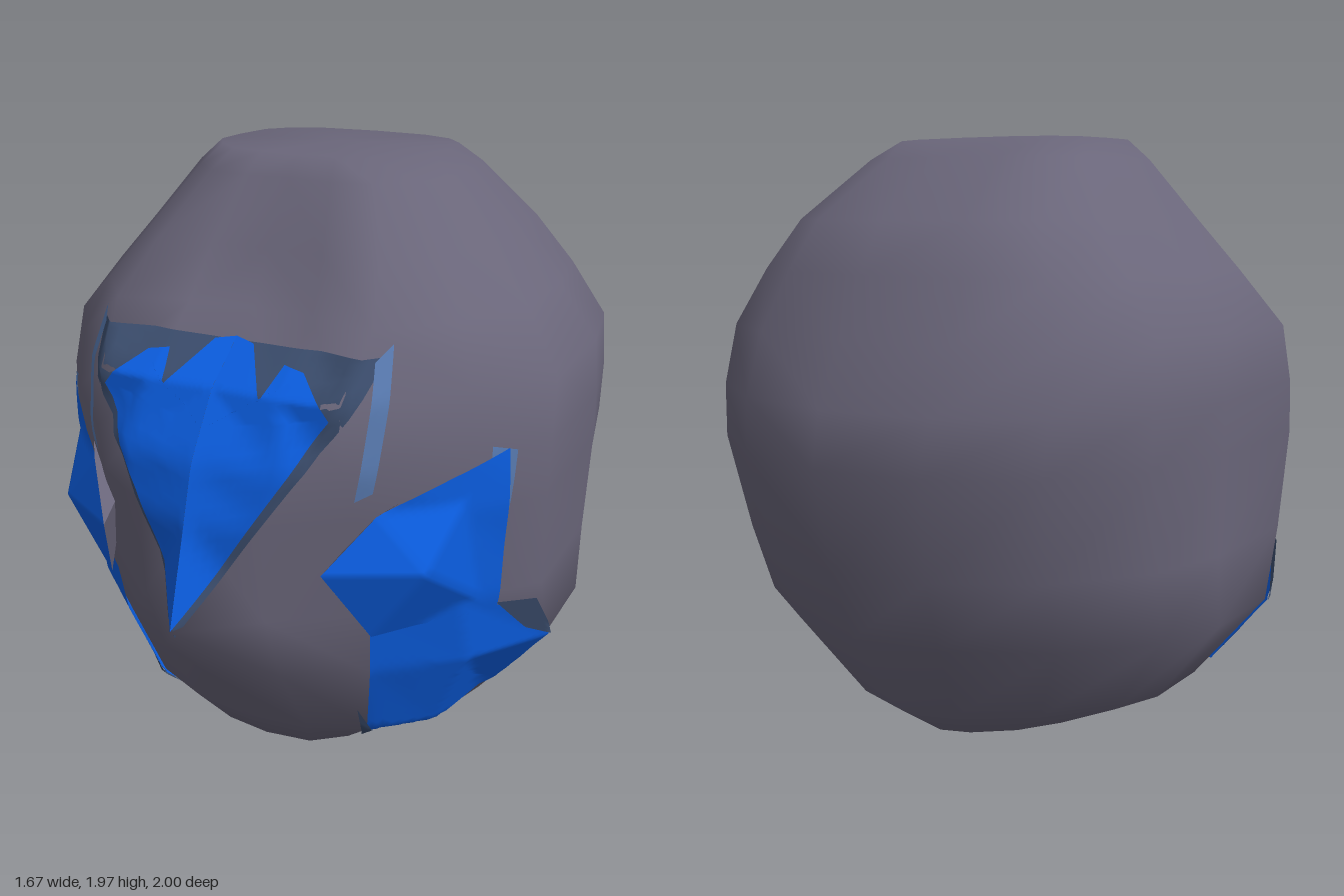
import * as THREE from 'three';
import { mergeVertices } from 'three/addons/utils/BufferGeometryUtils.js';

const paint = (name, color) => {
  const m = new THREE.MeshStandardMaterial({ color, side: THREE.DoubleSide });
  m.name = name;
  return m;
};

// Rings from bottom to top:
// y, half width, z of the side, z of the back, z of the front ridge, then three front points (x, z)
const rings = [
  [0.12, 0.32, 0.10, -0.46, 0.48, 0.15, 0.46, 0.25, 0.38, 0.30, 0.25],
  [0.26, 0.60, 0.12, -0.66, 0.60, 0.20, 0.57, 0.38, 0.49, 0.53, 0.35],
  [0.54, 0.82, 0.16, -0.86, 0.82, 0.20, 0.74, 0.42, 0.60, 0.65, 0.40],
  [0.76, 0.82, 0.24, -0.94, 0.985, 0.20, 0.82, 0.43, 0.64, 0.64, 0.46],
  [1.06, 0.83, 0.28, -1.00, 0.89, 0.20, 0.83, 0.42, 0.69, 0.65, 0.48],
  [1.22, 0.83, 0.27, -0.97, 0.84, 0.25, 0.80, 0.40, 0.73, 0.66, 0.47],
  [1.40, 0.82, 0.22, -0.88, 0.72, 0.20, 0.73, 0.38, 0.72, 0.65, 0.44],
  [1.57, 0.70, 0.15, -0.79, 0.50, 0.20, 0.52, 0.41, 0.58, 0.58, 0.38],
  [1.72, 0.57, 0.12, -0.70, 0.41, 0.18, 0.42, 0.36, 0.43, 0.49, 0.27],
  [1.90, 0.42, 0.08, -0.44, 0.28, 0.14, 0.29, 0.27, 0.27, 0.36, 0.18],
  [1.96, 0.36, 0.05, -0.32, 0.22, 0.12, 0.22, 0.23, 0.20, 0.31, 0.13],
];

function shellGeometry() {
  const pos = [], index = [];
  let n = 0;
  for (const [y, w, side, back, front, ...f] of rings) {
    const half = [[0, front], [f[0], f[1]], [f[2], f[3]], [f[4], f[5]], [w, side]];
    // the back follows a quarter ellipse, squarer towards the top
    const e = 1.35 - 0.33 * y;
    for (let k = 0; k <= 4; k++) {
      const t = k * Math.PI / 8;
      const x = k === 4 ? 0 : w * Math.cos(t) ** e;
      half.push([x, back * (0.2 + 0.8 * Math.sin(t) ** e)]);
    }
    const loop = [...half, ...half.slice(1, -1).reverse().map(([x, z]) => [-x, z])];
    n = loop.length;
    for (const [x, z] of loop) pos.push(x, y, z);
  }
  const bottom = rings.length * n, top = bottom + 1;
  pos.push(0, 0, 0.08, 0, 1.965, -0.05);
  for (let j = 0; j < n; j++) {
    const k = (j + 1) % n, last = (rings.length - 1) * n;
    index.push(bottom, k, j, top, last + j, last + k);
    for (let i = 0; i < rings.length - 1; i++) {
      const a = i * n + j, b = i * n + k, c = b + n, d = a + n;
      // mirrored diagonals keep both sides alike
      if (j < n / 2) index.push(a, b, d, b, c, d);
      else index.push(a, b, c, a, c, d);
    }
  }
  const g = new THREE.BufferGeometry();
  g.setAttribute('position', new THREE.Float32BufferAttribute(pos, 3));
  g.setIndex(index);
  g.computeVertexNormals();
  return g;
}

// Splits triangles finely and lays them over the shell; snap pulls them onto it,
// otherwise they are only pushed out where they would sink in
function drape(shell, points, faces, lift, snap, mirrored) {
  const ray = new THREE.Raycaster(), pos = [];
  const lay = (p) => {
    // a hair off the centre line, so no ray runs along a seam
    const dir = new THREE.Vector3(p.x + 1e-4, 0, p.z), r = dir.length();
    dir.normalize();
    const origin = new THREE.Vector3(0, p.y, 0).addScaledVector(dir, 3);
    ray.set(origin, dir.clone().negate());
    const hit = ray.intersectObject(shell)[0];
    const body = hit ? 3 - hit.distance + lift : r;
    const out = snap ? body : Math.max(r, body);
    return [dir.x * out * (mirrored ? -1 : 1), p.y, dir.z * out];
  };
  const split = (a, b, c, level) => {
    if (!level) {
      const t = [lay(a), lay(b), lay(c)];
      if (mirrored) t.reverse();
      pos.push(...t.flat());
      return;
    }
    const mid = (p, q) => p.clone().lerp(q, 0.5);
    const ab = mid(a, b), bc = mid(b, c), ca = mid(c, a);
    split(a, ab, ca, level - 1);
    split(ab, b, bc, level - 1);
    split(ca, bc, c, level - 1);
    split(ab, bc, ca, level - 1);
  };
  for (const face of faces) {
    split(...[...face].map((key) => new THREE.Vector3(...points[key])), 4);
  }
  const g = new THREE.BufferGeometry();
  g.setAttribute('position', new THREE.Float32BufferAttribute(pos, 3));
  const merged = mergeVertices(g, 1e-4);
  merged.computeVertexNormals();
  return merged;
}

export function createModel() {
  const grey = paint('slate grey', 0x6a667a);
  const blue = paint('bright blue', 0x0b5ee2);
  const navy = paint('dull navy', 0x3b4d6d);
  const steel = paint('steel blue', 0x587ab0);

  const model = new THREE.Group();
  model.name = 'helmet';
  const add = (name, geometry, material) => {
    const mesh = new THREE.Mesh(geometry, material);
    mesh.name = name;
    model.add(mesh);
    return mesh;
  };

  const shell = add('shell', shellGeometry(), grey);
  shell.updateMatrixWorld();

  // Pointed crest with a scalloped top, and its darker border
  const crest = {
    T: [0, 0.77, 0.98], M: [0, 1.3, 0.8], R: [0.36, 1.36, 0.74], P: [0.25, 1.46, 0.67],
    S: [0.18, 1.47, 0.64], Q: [0.15, 1.39, 0.73], V: [0.06, 1.5, 0.59], U: [0, 1.51, 0.58],
  };
  const border = {
    T: [0, 0.74, 0.97], M: [0, 1.3, 0.8], N: [0.47, 1.51, 0.6], U: [0, 1.5, 0.59],
  };

  // Cheek guard: raised wing above, panel hugging the shell below
  const wing = {
    A: [0.70, 1.23, 0.36], J: [0.47, 1.08, 0.67], B: [0.36, 0.93, 0.79],
    H: [0.61, 0.92, 0.64], C: [0.45, 0.69, 0.65], G: [0.71, 0.71, 0.35],
  };
  const panel = {
    C: [0.45, 0.70, 0.65], D: [0.36, 0.19, 0.48], E: [0.64, 0.32, 0.12], F: [0.68, 0.38, 0.11],
    I: [0.79, 0.55, 0.15], L: [0.77, 0.69, 0.25], G: [0.71, 0.72, 0.36], K: [0.6, 0.48, 0.4],
  };

  // Thin worn edges beside the plates
  const worn = {
    a: [0.71, 0.73, 0.36], b: [0.77, 0.71, 0.24], c: [0.8, 0.54, 0.14], d: [0.75, 0.6, 0.24],
    e: [0.35, 0.2, 0.48], f: [0.38, 0.25, 0.48], g: [0.365, 0.37, 0.56],
  };
  const slit = { a: [0.41, 1.13, 0.69], b: [0.45, 1.15, 0.66], c: [0.475, 1.54, 0.57], d: [0.44, 1.5, 0.62] };
  const strip = { a: [0.70, 0.95, 0.44], b: [0.74, 0.97, 0.38], c: [0.74, 1.22, 0.35], d: [0.69, 1.24, 0.41] };

  for (const mirrored of [false, true]) {
    const side = mirrored ? 'right' : 'left';
    const plate = (name, points, faces, lift, snap, material) =>
      add(`${side} ${name}`, drape(shell, points, faces, lift, snap, mirrored), material);
    plate('crest border', border, ['TNM', 'NUM'], 0.006, true, navy);
    plate('crest', crest, ['TRM', 'RPM', 'PSQ', 'PQM', 'QVM', 'VUM'], 0.015, true, blue);
    plate('cheek wing', wing, ['AJH', 'JBH', 'BCH', 'HCG', 'AHG'], 0.01, false, blue);
    plate('cheek panel', panel, ['CDK', 'DEK', 'EFK', 'FIK', 'ILK', 'LGK', 'GCK'], 0.01, true, blue);
    plate('worn cheek edge', worn, ['acb', 'adc', 'efg'], 0.015, true, navy);
    plate('brow slit', slit, ['abc', 'acd'], 0.009, true, steel);
    plate('cheek strip', strip, ['abc', 'acd'], 0.006, true, steel);

    // Inner wall closing the raised wing against the shell
    const s = mirrored ? -1 : 1;
    const inner = [0.4, 1.0, 0.62];
    const edge = [wing.A, wing.J, wing.B, wing.C];
    const corners = [0, 1, 2].flatMap((i) => [edge[i], inner, edge[i + 1]]);
    const wall = new THREE.BufferGeometry();
    wall.setAttribute('position', new THREE.Float32BufferAttribute(
      corners.flatMap(([x, y, z]) => [x * s, y, z]), 3));
    wall.computeVertexNormals();
    add(`${side} cheek wall`, wall, grey);
  }
  return model;
}
